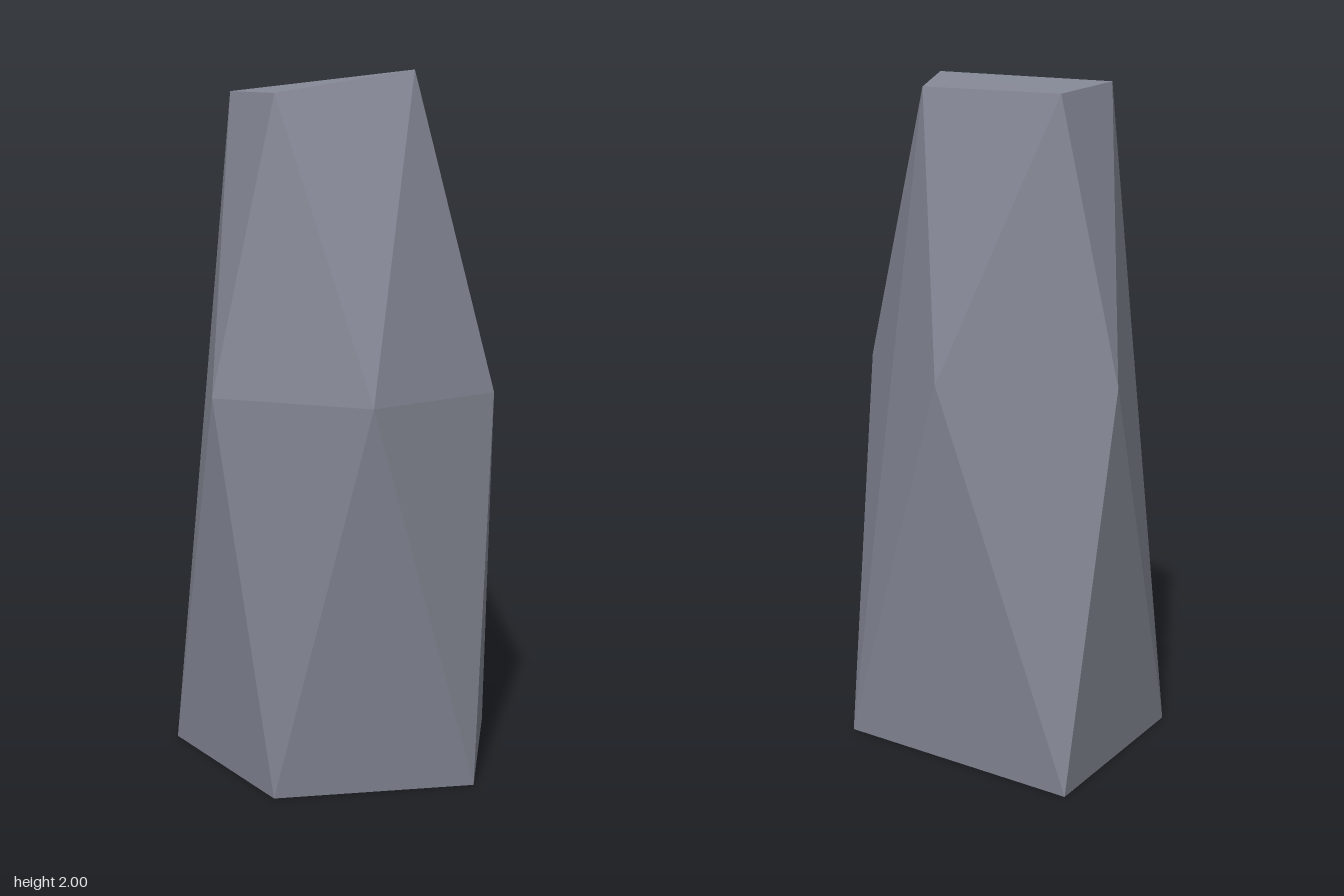
import * as THREE from 'three';
import { ConvexGeometry } from 'three/addons/geometries/ConvexGeometry.js';

export function createModel() {
  const group = new THREE.Group();
  group.name = 'standingStone';

  const stone = new THREE.MeshStandardMaterial({ color: 0x828592 });
  stone.name = 'slate grey';

  // Three five-cornered rings, each corner as x, y, z
  const base = [[0.18, 0, 0.535], [0.465, 0, 0.14], [0.08, 0, -0.545], [-0.45, 0, -0.175], [-0.365, 0, 0.355]];
  const shoulder = [[0.275, 1.12, 0.455], [0.325, 1.12, -0.217], [-0.11, 1.12, -0.475], [-0.467, 1.12, 0.192], [-0.157, 1.12, 0.545]];
  const crown = [[0.087, 2, 0.32], [0.24, 1.94, 0.075], [-0.023, 1.91, -0.29], [-0.26, 1.955, -0.143], [-0.252, 1.938, 0.146]];

  // Flat facets stretched tightly around the rings
  const corners = [...base, ...shoulder, ...crown].map((p) => new THREE.Vector3(...p));
  const rock = new THREE.Mesh(new ConvexGeometry(corners), stone);
  rock.name = 'rock';
  group.add(rock);

  return group;
}
